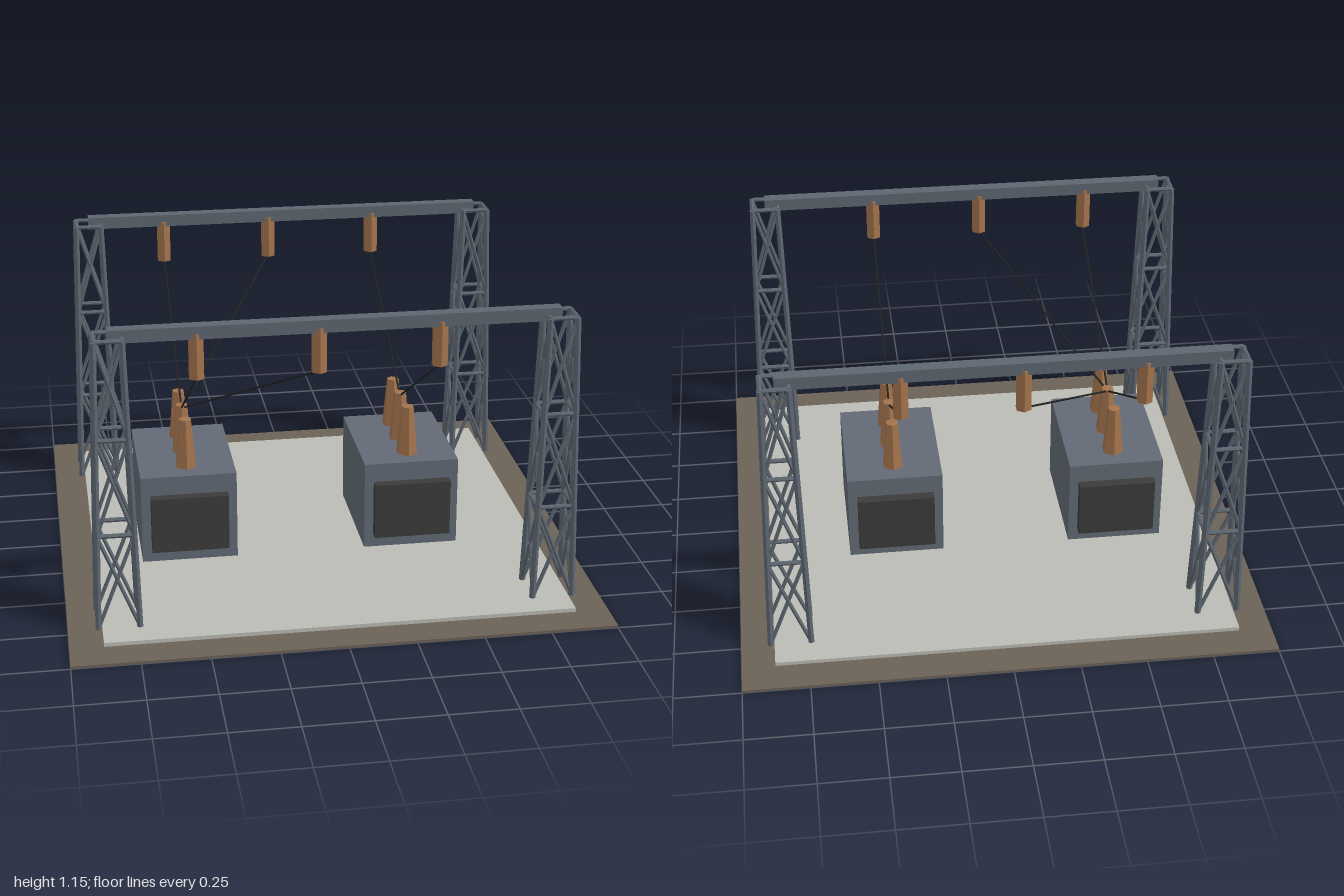
import * as THREE from 'three';

const mat = (name, color) => {
  const m = new THREE.MeshStandardMaterial({ color, flatShading: true });
  m.name = name;
  return m;
};

export function createModel() {
  const root = new THREE.Group();
  root.name = 'substation';
  const soil = mat('soil brown', 0x6b6157);
  const concrete = mat('concrete grey', 0xbcbcb6);
  const steel = mat('lattice steel', 0x5d6670);
  const casing = mat('casing grey', 0x626a75);
  const dark = mat('radiator dark', 0x3b3b3a);
  const ceramic = mat('ceramic brown', 0xa3734c);
  const cable = mat('cable black', 0x222222);

  const add = (parent, name, geometry, material, x = 0, y = 0, z = 0) => {
    const m = new THREE.Mesh(geometry, material);
    m.name = name;
    m.position.set(x, y, z);
    parent.add(m);
    return m;
  };
  const box = (w, h, d) => new THREE.BoxGeometry(w, h, d);

  // Round bar between two points
  const up = new THREE.Vector3(0, 1, 0);
  const bar = (parent, name, a, b, r, material, sides = 6) => {
    const dir = b.clone().sub(a);
    const m = add(parent, name, new THREE.CylinderGeometry(r, r, dir.length(), sides), material);
    m.position.copy(a).add(b).multiplyScalar(0.5);
    m.quaternion.setFromUnitVectors(up, dir.normalize());
  };

  // Ground and concrete pad
  add(root, 'ground', box(2, 0.01, 2), soil, 0, 0.005, 0);
  add(root, 'concretePad', box(1.75, 0.023, 1.75), concrete, 0, 0.0135, 0);

  // Tapering lattice tower: four legs, three bays of cross braces
  const baseY = 0.025, topY = 1.125, bays = 3;
  const corner = (i, t) => {
    const half = THREE.MathUtils.lerp(0.076, 0.05, t);
    const sx = [1, -1, -1, 1][i % 4], sz = [1, 1, -1, -1][i % 4];
    return new THREE.Vector3(sx * half, THREE.MathUtils.lerp(baseY, topY, t), sz * half);
  };
  const buildTower = (x, z) => {
    const tower = new THREE.Group();
    tower.name = 'latticeTower';
    tower.position.set(x, 0, z);
    for (let i = 0; i < 4; i++) {
      bar(tower, 'towerLeg', corner(i, 0), corner(i, 1), 0.0125, steel);
      for (let b = 0; b < bays; b++) {
        const t0 = b / bays, t1 = (b + 1) / bays;
        bar(tower, 'crossBrace', corner(i, t0), corner(i + 1, t1), 0.0075, steel);
        bar(tower, 'crossBrace', corner(i + 1, t0), corner(i, t1), 0.0075, steel);
        bar(tower, 'ringBar', corner(i, t1), corner(i + 1, t1), 0.0085, steel);
      }
    }
    root.add(tower);
  };

  // Transformers with end radiators and a row of three bushings
  const buildTransformer = (x) => {
    const unit = new THREE.Group();
    unit.name = 'transformer';
    unit.position.x = x;
    add(unit, 'tank', box(0.372, 0.355, 0.5), casing, 0, 0.2025, 0);
    for (const s of [-1, 1]) add(unit, 'radiator', box(0.3, 0.225, 0.04), dark, 0, 0.192, s * 0.27);
    for (const z of [-0.15, 0, 0.15]) {
      add(unit, 'bushing', new THREE.CylinderGeometry(0.025, 0.043, 0.198, 6), ceramic, 0, 0.478, z);
    }
    root.add(unit);
  };
  const unitX = [-0.503, 0.373];
  unitX.forEach(buildTransformer);

  // Gantries: two towers, a beam, hanging insulators and cables
  const hangers = [[-0.503, unitX[0]], [-0.065, unitX[0]], [0.373, unitX[1]]];
  for (const s of [-1, 1]) {
    const z = s * 0.69;
    for (const side of [-1, 1]) buildTower(side * 0.813, z);
    add(root, 'gantryBeam', box(1.626, 0.048, 0.048), steel, 0, 1.131, z);
    for (const [x, target] of hangers) {
      add(root, 'hangingInsulator', new THREE.CylinderGeometry(0.03, 0.03, 0.17, 6), ceramic, x, 1.04, z);
      bar(root, 'cable', new THREE.Vector3(x, 0.956, z), new THREE.Vector3(target, 0.562, 0), 0.004, cable, 5);
    }
  }
  return root;
}
